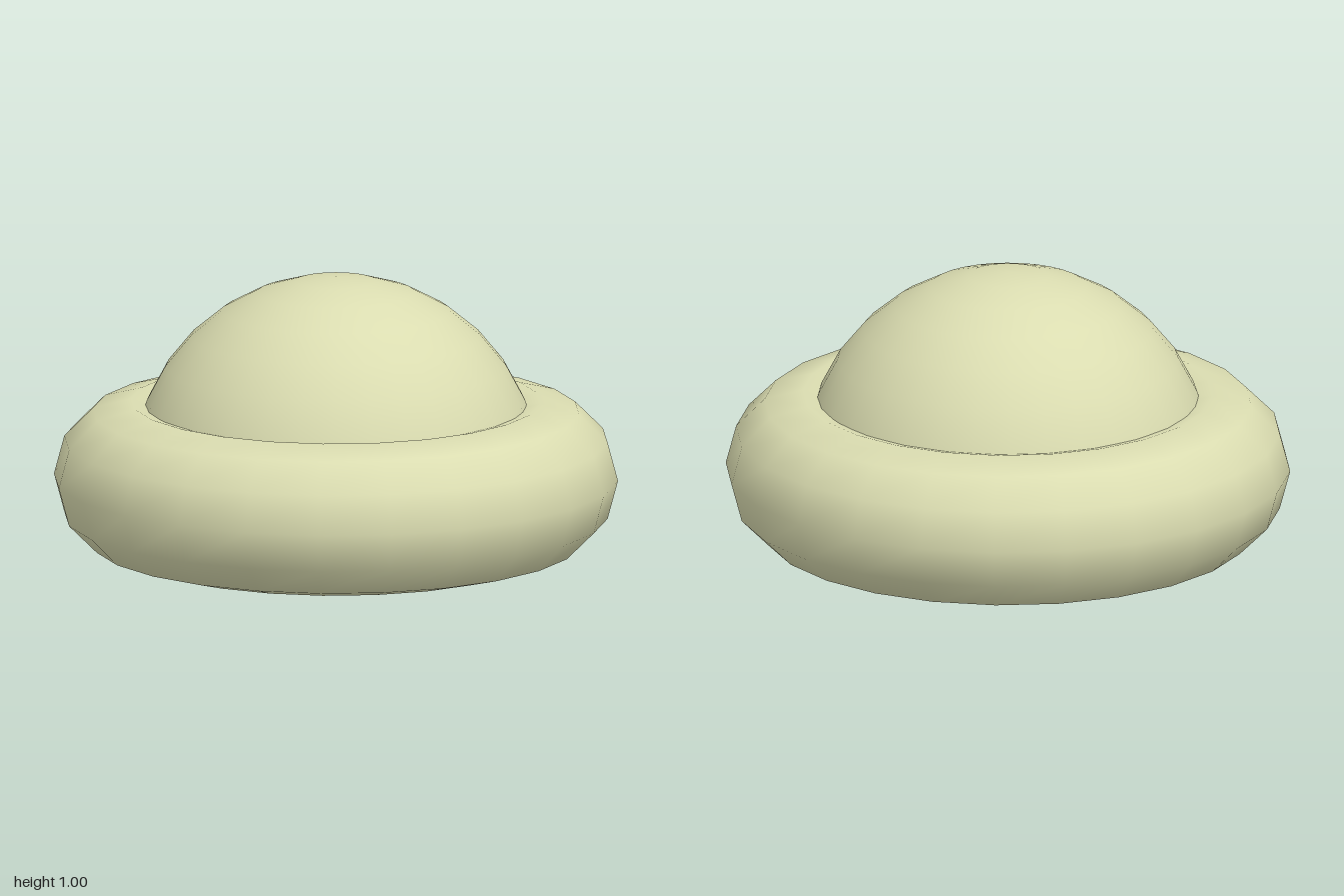
import * as THREE from 'three';

export function createModel() {
  const model = new THREE.Group();
  const paleGreen = new THREE.MeshStandardMaterial({ color: 0xdadcb0, side: THREE.DoubleSide });
  paleGreen.name = 'paleGreen';

  const ringRadius = 0.725;
  const tubeRadius = 0.275;

  // Thick ring lying flat on the ground
  const ring = new THREE.Mesh(
    new THREE.TorusGeometry(ringRadius, tubeRadius, 12, 24).rotateX(Math.PI / 2),
    paleGreen
  );
  ring.name = 'ring';
  ring.position.y = tubeRadius;

  // Hollow half-sphere, open below, its rim buried in the middle of the ring
  const dome = new THREE.Mesh(
    new THREE.SphereGeometry(ringRadius, 32, 8, 0, Math.PI * 2, 0, Math.PI / 2),
    paleGreen
  );
  dome.name = 'dome';
  dome.position.y = tubeRadius;

  model.add(ring, dome);
  return model;
}
